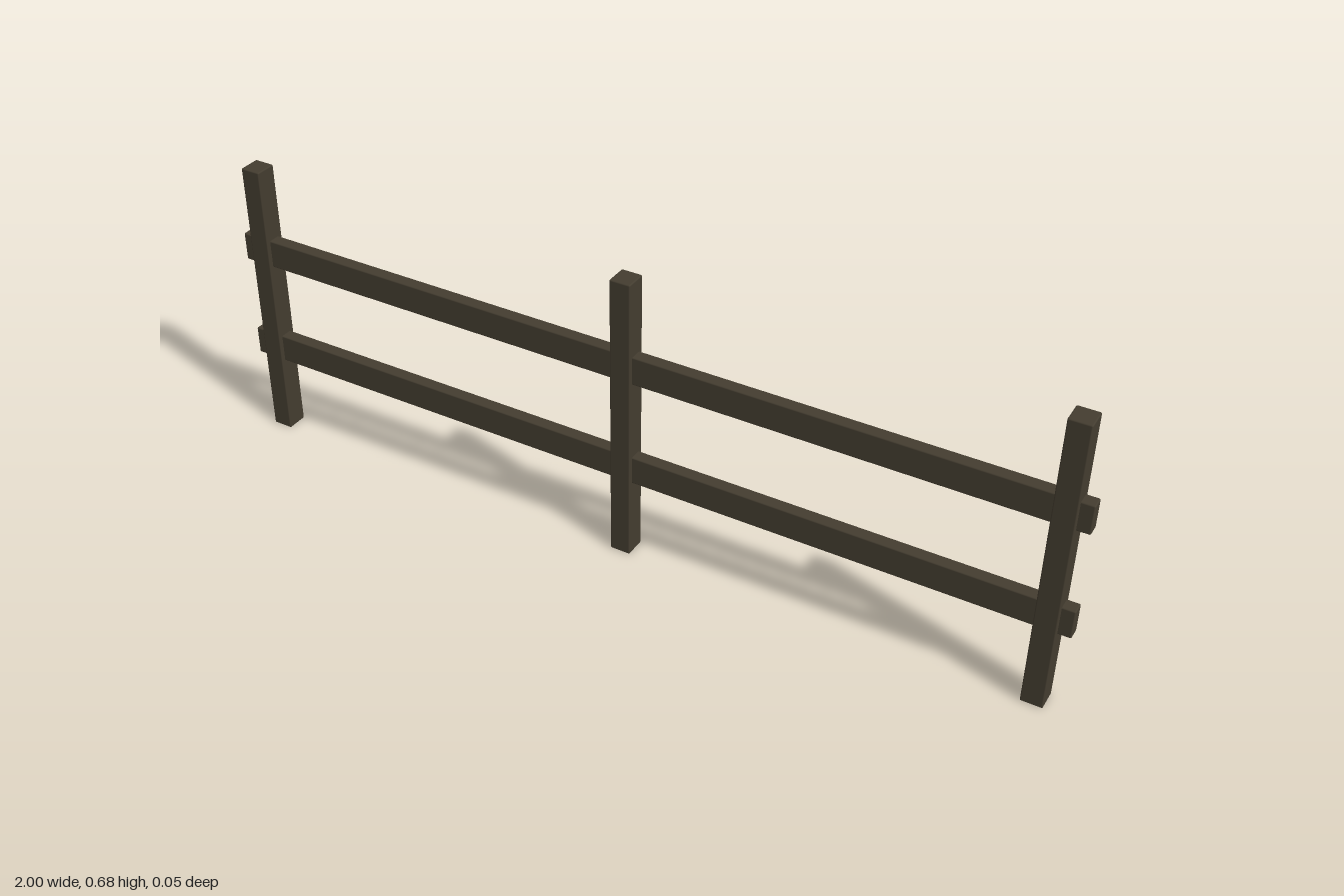
import * as THREE from 'three';
import { RoundedBoxGeometry } from 'three/addons/geometries/RoundedBoxGeometry.js';

export function createModel() {
  const fence = new THREE.Group();
  fence.name = 'fence';
  const wood = new THREE.MeshStandardMaterial({ color: 0x443d30 });
  wood.name = 'dark wood';

  // Timber with slightly softened edges
  const addBeam = (name, w, h, d, x, y) => {
    const beam = new THREE.Mesh(new RoundedBoxGeometry(w, h, d, 2, 0.003), wood);
    beam.name = name;
    beam.position.set(x, y, 0);
    fence.add(beam);
  };

  // Upright posts
  const postHeight = 0.684;
  [['rightPost', -0.948], ['middlePost', 0], ['leftPost', 0.948]].forEach(([name, x]) =>
    addBeam(name, 0.048, postHeight, 0.051, x, postHeight / 2));

  // Horizontal rails running through the posts
  [['lowerRail', 0.222], ['upperRail', 0.475]].forEach(([name, y]) =>
    addBeam(name, 2, 0.067, 0.03, 0, y));

  return fence;
}
